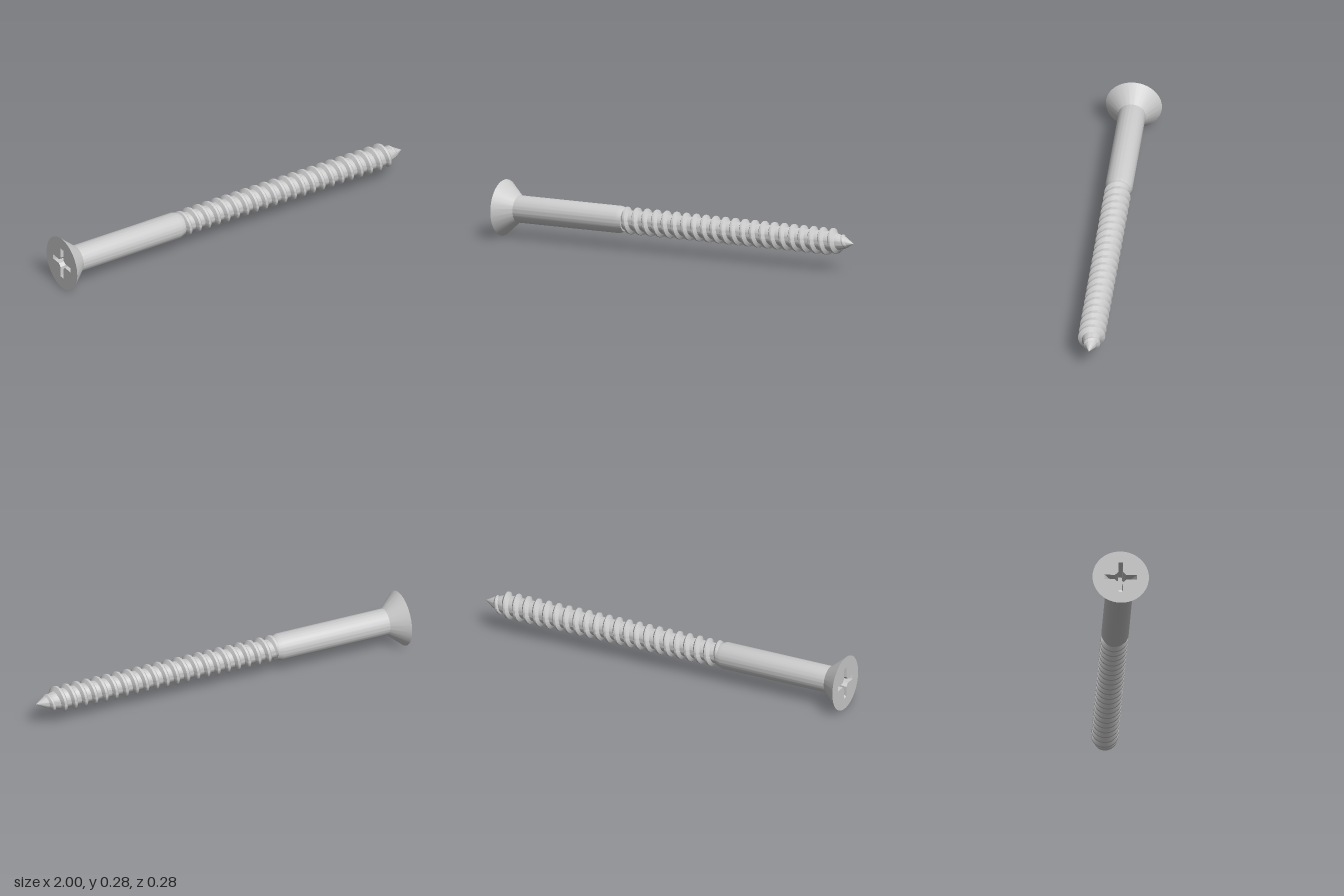
import * as THREE from 'three';
import { toCreasedNormals } from 'three/addons/utils/BufferGeometryUtils.js';

const SIDES = 64;
const HEAD_R = 0.14, SHANK_R = 0.068, CORE_R = 0.05;
const material = new THREE.MeshStandardMaterial({ color: 0xcccccc });

function part(name, geometry) {
  const mesh = new THREE.Mesh(geometry, material);
  mesh.name = name;
  return mesh;
}

// Solid of revolution about the x axis from [x, radius] pairs
function turned(profile) {
  const points = profile.map(([x, r]) => new THREE.Vector2(r, x));
  const g = new THREE.LatheGeometry(points, SIDES).rotateZ(-Math.PI / 2);
  return toCreasedNormals(g, 0.4);
}

// Indexed quad grid from rows of Vector3
function loft(rows) {
  const n = rows[0].length, index = [];
  for (let i = 0; i < rows.length - 1; i++) {
    for (let j = 0; j < n - 1; j++) {
      const a = i * n + j, b = a + n;
      index.push(a, b, b + 1, a, b + 1, a + 1);
    }
  }
  const g = new THREE.BufferGeometry().setFromPoints(rows.flat());
  g.setIndex(index);
  return g;
}

// Cross outline with bevelled inner corners, counter-clockwise
function crossOutline(length, w, m) {
  const pts = [];
  for (let q = 0; q < 4; q++) {
    for (const [x, y] of [[length, -w], [length, w], [m, w], [w, m]]) {
      pts.push(new THREE.Vector2(x, y).rotateAround(new THREE.Vector2(), q * Math.PI / 2));
    }
  }
  return pts;
}

// Flat drive face with a tapering cross recess
function driveFace() {
  const group = new THREE.Group();
  group.name = 'driveFace';
  const depth = 0.08;
  const top = crossOutline(0.08, 0.012, 0.028);
  const bottom = crossOutline(0.034, 0.009, 0.018);

  const disc = new THREE.Shape().absarc(0, 0, HEAD_R, 0, Math.PI * 2);
  disc.holes.push(new THREE.Path(top));
  group.add(part('headFace', new THREE.ShapeGeometry(disc, SIDES / 2)));

  const rows = top.concat(top[0]).map((p, i) => {
    const b = bottom[i % bottom.length];
    return [new THREE.Vector3(p.x, p.y, 0), new THREE.Vector3(b.x, b.y, -depth)];
  });
  const walls = loft(rows.map(([t, b]) => [b, t]));
  // Walls face into the recess
  const idx = walls.index.array;
  for (let i = 0; i < idx.length; i += 3) [idx[i], idx[i + 1]] = [idx[i + 1], idx[i]];
  group.add(part('recessWalls', toCreasedNormals(walls, 0.3)));

  const floor = part('recessFloor', new THREE.ShapeGeometry(new THREE.Shape(bottom)));
  floor.position.z = -depth;
  group.add(floor);

  group.rotation.y = -Math.PI / 2;
  group.position.x = -1;
  return group;
}

// Helical ridge that fades in at the shank and shrinks towards the point
function thread() {
  const pitch = 0.056, crestX = 0.88, steps = 48;
  const startTurn = -21.5, endTurn = 1.5;
  const count = Math.round((endTurn - startTurn) * steps);
  const rows = [];
  for (let i = 0; i <= count; i++) {
    const turn = startTurn + i / steps;
    const x = crestX + turn * pitch;
    const angle = turn * Math.PI * 2;
    const fadeIn = Math.min(1, (turn - startTurn) / 0.5);
    const tip = THREE.MathUtils.clamp((x - 0.89) / (0.965 - 0.89), 0, 1);
    const root = THREE.MathUtils.lerp(0.046, 0.016, tip);
    const crest = root + (THREE.MathUtils.lerp(SHANK_R, 0.022, tip) - root) * fadeIn;
    const size = 1 - 0.4 * tip;
    const profile = [[-0.02, root], [-0.006, crest - 0.001], [0, crest], [0.006, crest - 0.001], [0.02, root]];
    rows.push(profile.map(([dx, r]) =>
      new THREE.Vector3(x + dx * size, r * Math.cos(angle), r * Math.sin(angle))));
  }
  return toCreasedNormals(loft(rows), 0.5);
}

export function createModel() {
  const model = new THREE.Group();
  model.name = 'woodScrew';

  model.add(part('countersunkHead', turned([[-1, HEAD_R], [-0.915, SHANK_R]])));
  model.add(driveFace());
  // Plain shank with a chamfer down to the core
  model.add(part('shank', turned([[-0.915, SHANK_R], [-0.335, SHANK_R], [-0.305, 0.058], [-0.305, CORE_R]])));
  // Threaded core and its point
  model.add(part('core', turned([[-0.305, CORE_R], [0.88, CORE_R], [0.95, 0.03], [1, 0]])));
  model.add(part('thread', thread()));

  model.position.y = HEAD_R;
  const root = new THREE.Group();
  root.name = 'screw';
  root.add(model);
  return root;
}
